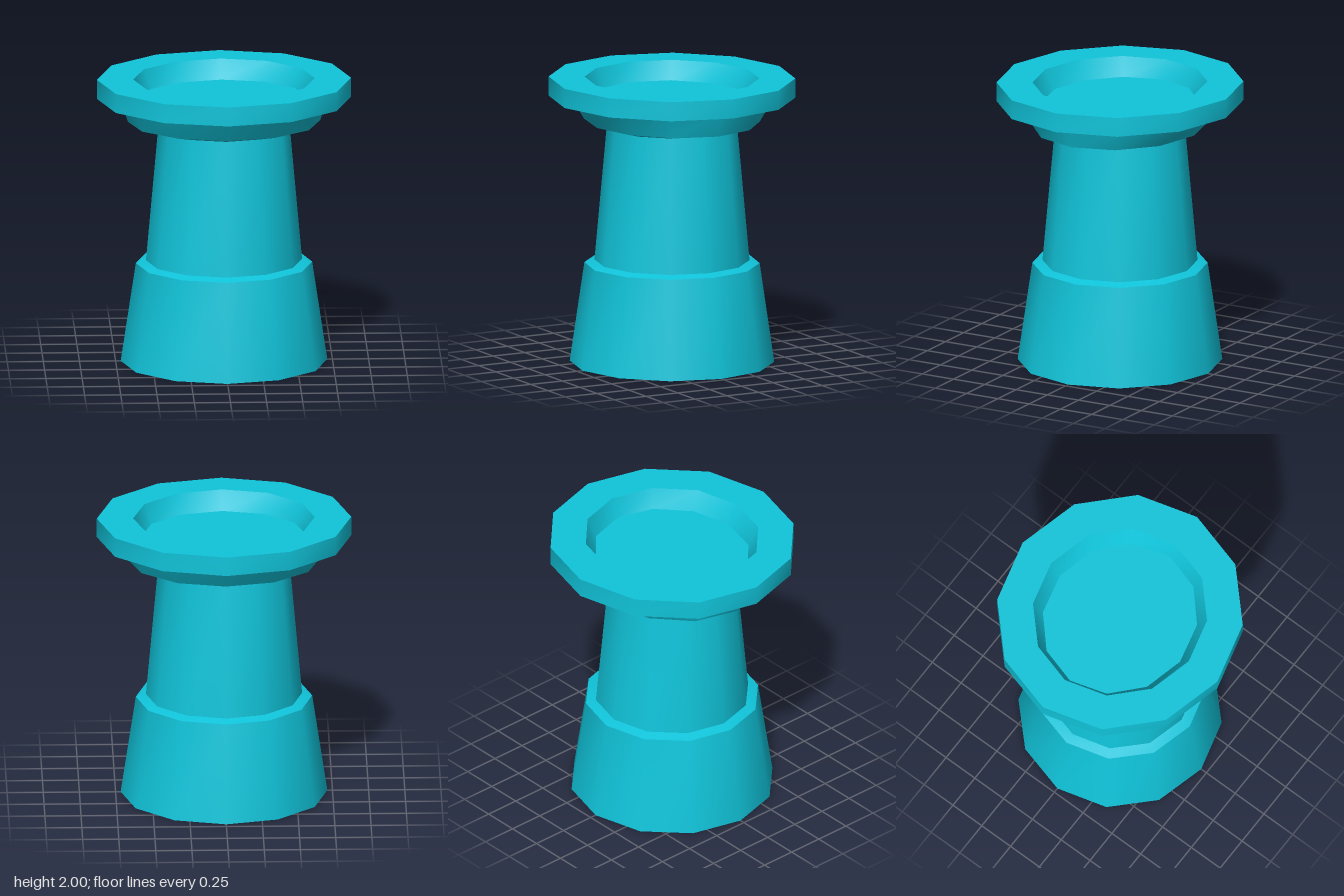
import * as THREE from 'three';

const SIDES = 12;

// One band of wall between two elliptical rings [rx, rz, y], listed lower/outer first; smooth around
function band(a, b) {
  const pos = [], index = [];
  for (const [rx, rz, y] of [a, b]) {
    for (let i = 0; i < SIDES; i++) {
      const t = (i / SIDES) * Math.PI * 2;
      pos.push(rx * Math.cos(t), y, rz * Math.sin(t));
    }
  }
  for (let i = 0; i < SIDES; i++) {
    const j = (i + 1) % SIDES;
    index.push(i, i + SIDES, j, j, i + SIDES, j + SIDES);
  }
  const g = new THREE.BufferGeometry();
  g.setAttribute('position', new THREE.Float32BufferAttribute(pos, 3));
  g.setIndex(index);
  g.computeVertexNormals();
  return g;
}

export function createModel() {
  const group = new THREE.Group();
  group.name = 'pedestal';
  const teal = new THREE.MeshStandardMaterial({ color: 0x10c4da, side: THREE.DoubleSide });
  teal.name = 'teal';

  // Rings from the open foot, up the outside and into the recessed top
  const rings = [
    [0.715, 0.705, 0],
    [0.61, 0.605, 0.695],
    [0.54, 0.535, 0.715],
    [0.455, 0.45, 1.66],
    [0.665, 0.59, 1.70],
    [0.72, 0.70, 1.865],
    [0.88, 0.845, 1.865],
    [0.88, 0.845, 2],
    [0.628, 0.597, 2],
    [0.572, 0.522, 1.868],
  ];
  const names = ['base', 'baseLedge', 'shaft', 'collarUnderside', 'collar',
    'flangeUnderside', 'flangeEdge', 'rim', 'recessWall'];
  names.forEach((name, i) => {
    const mesh = new THREE.Mesh(band(rings[i], rings[i + 1]), teal);
    mesh.name = name;
    group.add(mesh);
  });

  // Flat floor of the recess
  const floor = new THREE.Mesh(new THREE.CircleGeometry(1, SIDES).rotateX(-Math.PI / 2), teal);
  floor.scale.set(0.572, 1, 0.522);
  floor.position.y = 1.868;
  floor.name = 'recessFloor';
  group.add(floor);

  return group;
}
